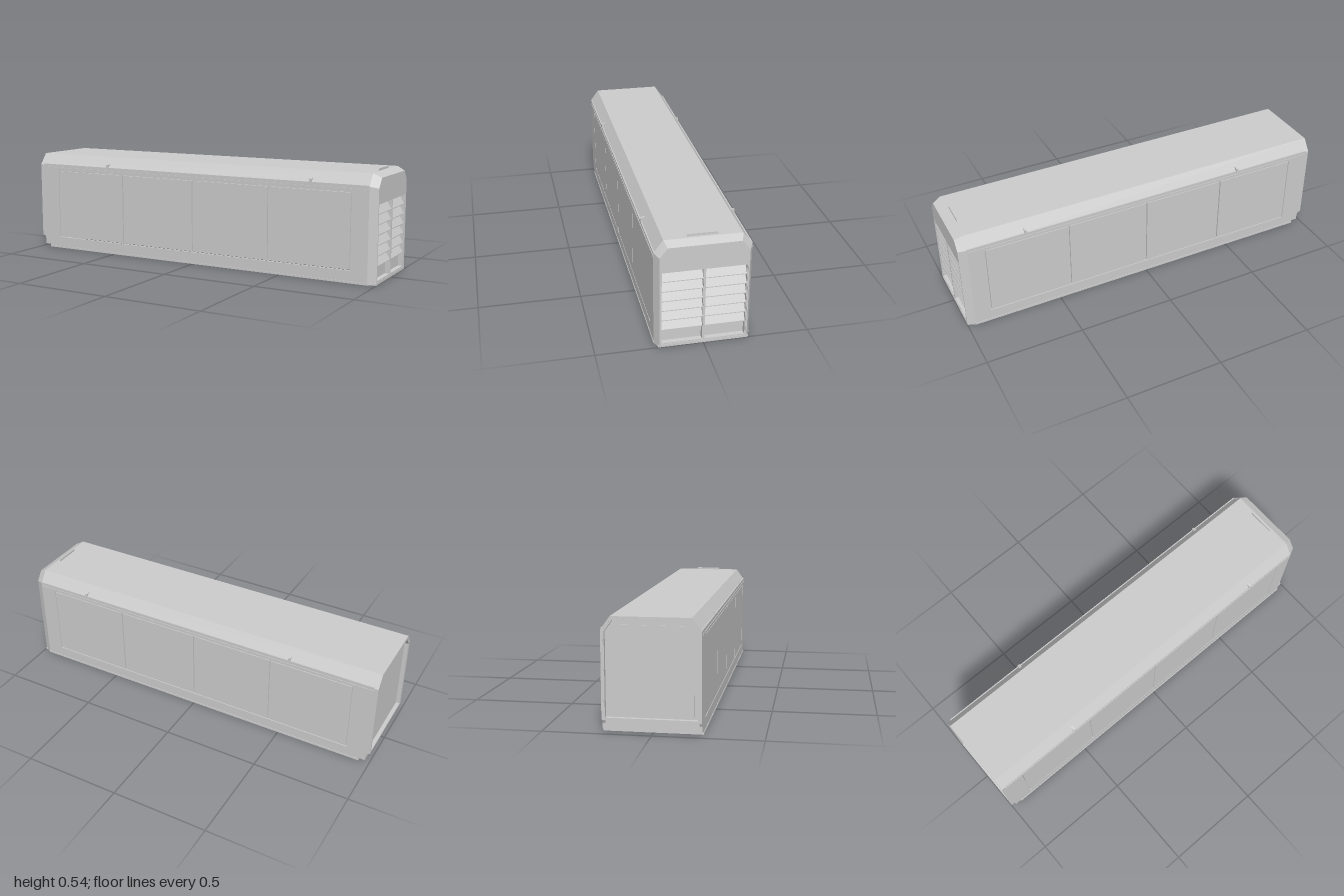
import * as THREE from 'three';

const grey = new THREE.MeshStandardMaterial({ color: 0xcccccc, flatShading: true, side: THREE.DoubleSide });

function add(parent, name, geometry, x = 0, y = 0, z = 0) {
  const mesh = new THREE.Mesh(geometry, grey);
  mesh.name = name;
  mesh.position.set(x, y, z);
  parent.add(mesh);
  return mesh;
}

// box given by its limits on each axis
function block(parent, name, x0, x1, y0, y1, z0, z1) {
  return add(parent, name, new THREE.BoxGeometry(x1 - x0, y1 - y0, z1 - z0),
    (x0 + x1) / 2, (y0 + y1) / 2, (z0 + z1) / 2);
}

const polygon = (pts) => new THREE.Shape(pts.map(([a, b]) => new THREE.Vector2(a, b)));
const rect = (a0, a1, b0, b1) => [[a0, b0], [a1, b0], [a1, b1], [a0, b1]];
const extrude = (shape, depth) => new THREE.ExtrudeGeometry(shape, { depth, bevelEnabled: false });
// extrude a (z, y) section along x, starting at x = 0
const extrudeX = (shape, depth) => extrude(shape, depth).rotateY(Math.PI / 2);

// house-shaped section: half width, eave height, half roof width, roof height
const section = (w, eave, r, top, base = 0) =>
  [[-w, base], [-w, eave], [-r, top], [r, top], [w, eave], [w, base]];

// skin joining two open sections at different x
function loft(a, xa, b, xb) {
  const pos = [];
  for (let i = 0; i < a.length - 1; i++) {
    const p = [xa, a[i][1], a[i][0]], q = [xa, a[i + 1][1], a[i + 1][0]];
    const r = [xb, b[i + 1][1], b[i + 1][0]], s = [xb, b[i][1], b[i][0]];
    pos.push(...p, ...s, ...r, ...p, ...r, ...q);
  }
  const g = new THREE.BufferGeometry();
  g.setAttribute('position', new THREE.Float32BufferAttribute(pos, 3));
  g.computeVertexNormals();
  return g;
}

// one long side, built facing +z
function buildSide(name) {
  const side = new THREE.Group();
  side.name = name;
  const wall = polygon([[-0.945, 0], [0.96, 0], [0.96, 0.47], [-1, 0.47], [-1, 0.065],
    [-0.985, 0.06], [-0.978, 0.045], [-0.978, 0.015], [-0.945, 0.015]]);
  wall.holes.push(polygon(rect(-0.875, 0.872, 0.062, 0.442)));
  add(side, 'sideWall', extrude(wall, 0.012), 0, 0, 0.212);

  // four doors with narrow seams between them
  const edges = [-0.875, -0.439, -0.002, 0.434, 0.872];
  for (let i = 0; i < 4; i++) {
    block(side, 'door', edges[i] + 0.003, edges[i + 1] - 0.003, 0.066, 0.438, 0.213, 0.2235);
    if (i > 0) block(side, 'doorSeam', edges[i] - 0.005, edges[i] + 0.005, 0.062, 0.442, 0.209, 0.214);
  }
  // drip rail under the eave, and its upper lip
  block(side, 'dripRail', -0.98, 0.96, 0.45, 0.459, 0.22, 0.227);
  block(side, 'eaveLip', -0.98, 0.96, 0.47, 0.476, 0.21, 0.2255);
  // base rail with inward flange
  block(side, 'baseRail', -0.945, 0.962, 0, 0.01, 0.2, 0.2265);
  // lifting lugs on the slope
  for (const x of [-0.54, 0.66]) {
    const lug = polygon([[-0.226, 0.472], [-0.226, 0.491], [-0.203, 0.497], [-0.195, 0.49], [-0.2, 0.472]]);
    add(side, 'liftingLug', extrudeX(lug, 0.012), x - 0.006);
  }
  return side;
}

export function createModel() {
  const model = new THREE.Group();
  model.name = 'enclosure';

  // long walls
  model.add(buildSide('frontSide'));
  const back = buildSide('backSide');
  back.scale.z = -1;
  model.add(back);

  // roof with sloped edges
  const roof = polygon([[-0.224, 0.47], [-0.18, 0.53], [0.18, 0.53], [0.224, 0.47],
    [0.212, 0.47], [0.175, 0.52], [-0.175, 0.52], [-0.212, 0.47]]);
  add(model, 'roof', extrudeX(roof, 1.96), -1);

  // tapered nose at the louvred end
  const noseBack = section(0.225, 0.472, 0.18, 0.53);
  const noseFront = section(0.205, 0.463, 0.168, 0.51);
  add(model, 'nose', loft(noseBack, 0.96, noseFront, 1));
  const face = polygon(noseFront);
  face.holes.push(polygon(rect(-0.198, 0.198, 0.012, 0.39)));
  add(model, 'noseFace', extrudeX(face, 0.01), 0.99);
  block(model, 'noseSill', 0.96, 0.998, 0, 0.01, -0.212, 0.212);

  // two louvred panels
  const louvres = new THREE.Group();
  louvres.name = 'louvres';
  model.add(louvres);
  for (const zc of [0.1, -0.1]) {
    const frame = polygon(rect(-0.098, 0.098, 0.012, 0.39));
    frame.holes.push(polygon(rect(-0.094, 0.094, 0.018, 0.386)));
    add(louvres, 'louvreFrame', extrudeX(frame, 0.035), 0.962, 0, zc);
    block(louvres, 'lowerPanel', 0.966, 0.972, 0.018, 0.08, zc - 0.094, zc + 0.094);
    for (let i = 0; i < 6; i++) {
      const y = 0.086 + i * 0.05;
      const slat = extrude(polygon([[0.995, y], [0.995, y + 0.004], [0.969, y + 0.048], [0.966, y + 0.046]]), 0.188);
      add(louvres, 'slat', slat, 0, 0, zc - 0.094);
    }
  }
  block(louvres, 'centrePost', 0.962, 0.998, 0.012, 0.39, -0.004, 0.004);

  // small upright plate on the roof
  const plate = polygon([[-0.073, 0.528], [-0.066, 0.541], [0.066, 0.541], [0.073, 0.528]]);
  add(model, 'roofPlate', extrudeX(plate, 0.006), 0.942);

  // recessed closed end
  const rim = polygon(section(0.223, 0.47, 0.179, 0.529, 0.065));
  rim.holes.push(polygon(section(0.208, 0.462, 0.17, 0.513, 0.075)));
  add(model, 'endRim', extrudeX(rim, 0.02), -0.9995);
  add(model, 'endPanel', extrudeX(polygon(section(0.212, 0.468, 0.174, 0.52, 0.015)), 0.008), -0.978);
  add(model, 'endDoor', extrudeX(polygon(section(0.19, 0.44, 0.155, 0.49, 0.09)), 0.004), -0.982);
  block(model, 'endSill', -0.945, -0.915, 0, 0.015, -0.212, 0.212);
  block(model, 'endStep', -0.976, -0.93, 0.015, 0.022, -0.222, 0.222);

  return model;
}
